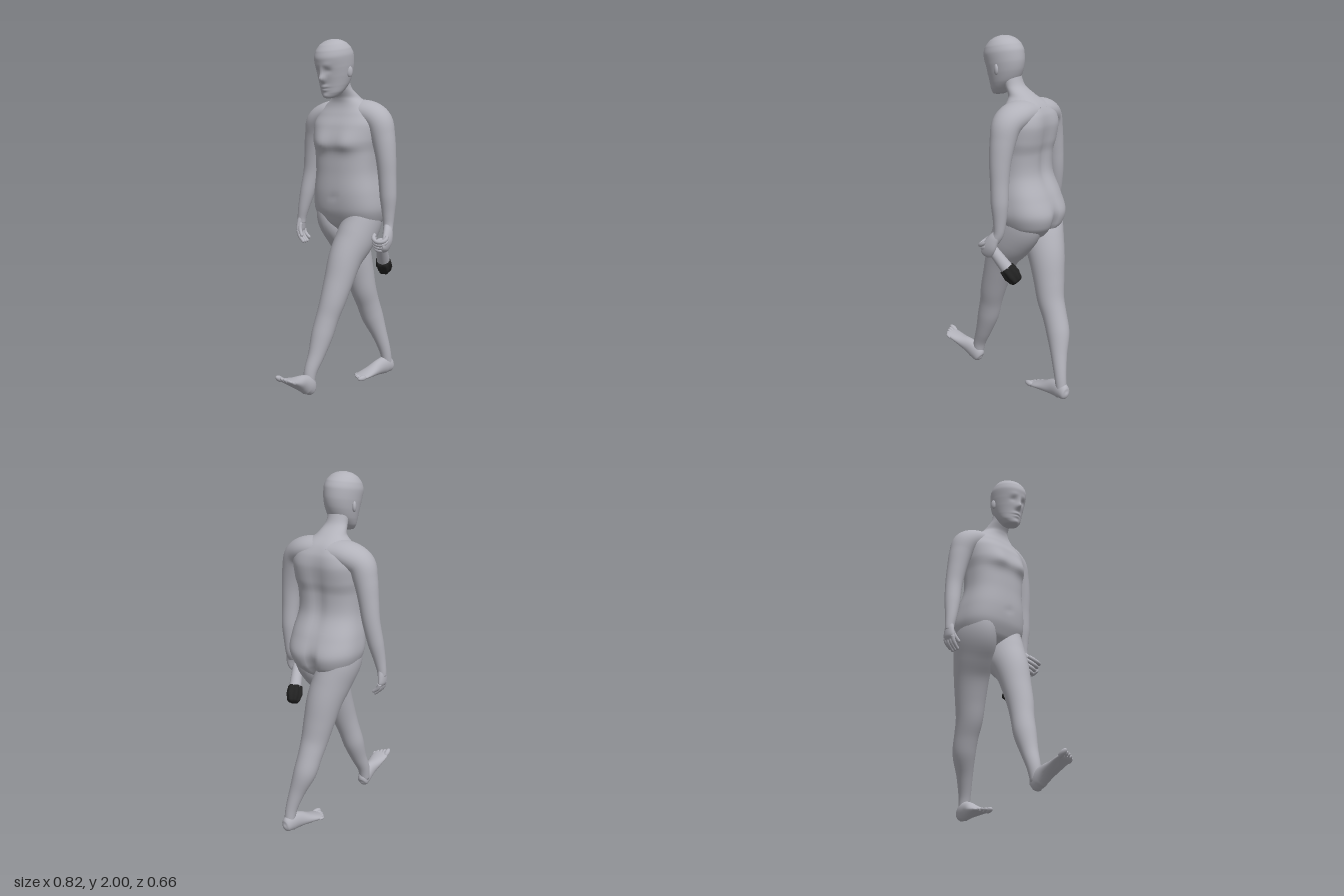
import * as THREE from 'three';

const skin = new THREE.MeshStandardMaterial({ color: 0xb2b2ba });
skin.name = 'greySkin';
const dark = new THREE.MeshStandardMaterial({ color: 0x222222 });
dark.name = 'darkRubber';

const V = (x, y, z) => new THREE.Vector3(x, y, z);
const YAW = -0.863; // heading of the body
const FWD = V(Math.sin(YAW), 0, Math.cos(YAW));
const SIDE = V(Math.cos(YAW), 0, -Math.sin(YAW));
const bump = (v, x, y, sx, sy) => Math.exp(-(((v.x - x) / sx) ** 2) - ((v.y - y) / sy) ** 2);

function add(parent, name, geometry, material = skin) {
  const mesh = new THREE.Mesh(geometry, material);
  mesh.name = name;
  parent.add(mesh);
  return mesh;
}

// Smooth skin through sections [x, y, z, halfWidth, halfDepth, power]; power below 1 squares the ellipse
function loft(sections, { ref = FWD, axis = null, rows = 28, cols = 24, deform = null } = {}) {
  const path = new THREE.CatmullRomCurve3(sections.map(s => V(s[0], s[1], s[2])));
  const radii = new THREE.CatmullRomCurve3(sections.map(s => V(s[3], s[4] ?? s[3], s[5] ?? 1)));
  const pos = [], idx = [];
  const round = (c, power) => Math.sign(c) * Math.abs(c) ** power;
  for (let i = 0; i <= rows; i++) {
    const c = path.getPoint(i / rows), r = radii.getPoint(i / rows);
    const T = axis ?? path.getTangent(i / rows);
    const B = ref.clone().addScaledVector(T, -ref.dot(T)).normalize();
    const A = B.clone().cross(T);
    for (let j = 0; j < cols; j++) {
      const a = (j / cols) * Math.PI * 2;
      const p = c.clone().addScaledVector(A, round(Math.cos(a), r.z) * r.x).addScaledVector(B, round(Math.sin(a), r.z) * r.y);
      if (deform) deform(p, Math.sin(a));
      pos.push(p.x, p.y, p.z);
      if (i === rows) continue;
      const k = i * cols + j, n = i * cols + ((j + 1) % cols);
      idx.push(k, n, n + cols, k, n + cols, k + cols);
    }
  }
  // end caps
  [0, rows].forEach(i => {
    const c = path.getPoint(i / rows), m = pos.length / 3;
    pos.push(c.x, c.y, c.z);
    for (let j = 0; j < cols; j++) {
      const k = i * cols + j, n = i * cols + ((j + 1) % cols);
      if (i) idx.push(m, k, n); else idx.push(m, n, k);
    }
  });
  const g = new THREE.BufferGeometry();
  g.setAttribute('position', new THREE.Float32BufferAttribute(pos, 3));
  g.setIndex(idx);
  g.computeVertexNormals();
  return g;
}

// Upright form from rows [y, front, back, halfWidth, power]
const upright = (rows, deform) => loft(
  rows.map(([y, f, b, w, power]) => [0, y, (f + b) / 2, w, (f - b) / 2, power]),
  { ref: V(0, 0, 1), axis: V(0, 1, 0), rows: 80, cols: 64, deform });

function makeTorso() {
  const rows = [
    [0.885, -0.09, -0.17, 0.03, 0.9], [0.925, -0.04, -0.238, 0.115, 0.85], [0.98, 0.012, -0.28, 0.182, 0.8],
    [1.06, 0.045, -0.297, 0.207, 0.78], [1.15, 0.056, -0.27, 0.2, 0.8], [1.27, 0.055, -0.222, 0.18, 0.82],
    [1.38, 0.055, -0.22, 0.183, 0.8], [1.45, 0.055, -0.232, 0.195, 0.75], [1.53, 0.04, -0.24, 0.2, 0.74],
    [1.595, 0.012, -0.23, 0.18, 0.78], [1.645, -0.005, -0.198, 0.132, 0.85], [1.685, -0.002, -0.145, 0.082, 0.95],
    [1.74, 0.03, -0.075, 0.062, 1], [1.82, 0.06, -0.045, 0.058, 1]];
  return upright(rows, (p, s) => {
    if (s > 0) { // chest and navel
      for (const x of [-0.085, 0.085])
        p.z += s * 0.026 * bump(p, x, 1.425, 0.075, p.y < 1.425 ? 0.038 : 0.075);
      p.z -= s * 0.005 * bump(p, 0, 1.13, 0.02, 0.02);
    } else { // spine groove, cleft, seat and shoulder blades
      p.z -= s * (0.016 * bump(p, 0, 1.36, 0.04, 0.2) + 0.032 * bump(p, 0, 0.98, 0.022, 0.09));
      for (const x of [-0.095, 0.095])
        p.z += s * (0.012 * bump(p, x, 1.0, 0.08, 0.08) + 0.006 * bump(p, x * 1.2, 1.52, 0.06, 0.09));
    }
  });
}

function makeHead() {
  const head = new THREE.Group();
  head.name = 'head';
  const rows = [
    [-0.168, 0.075, 0.03, 0.012], [-0.16, 0.092, 0.0, 0.042], [-0.135, 0.097, -0.035, 0.064],
    [-0.1, 0.098, -0.078, 0.078], [-0.05, 0.102, -0.109, 0.09], [0, 0.108, -0.124, 0.098],
    [0.05, 0.112, -0.126, 0.102], [0.09, 0.096, -0.112, 0.094], [0.12, 0.066, -0.083, 0.073],
    [0.138, 0.03, -0.048, 0.042], [0.145, -0.005, -0.013, 0.005]];
  add(head, 'skullAndFace', upright(rows, (p, s) => {
    if (s <= 0) return;
    p.z += s * (0.026 * bump(p, 0, -0.055, 0.016, 0.02) + 0.012 * bump(p, 0, -0.025, 0.012, 0.03)
      + 0.009 * bump(p, 0, -0.1, 0.026, 0.01) + 0.007 * bump(p, 0, -0.118, 0.022, 0.009)
      - 0.003 * bump(p, 0, -0.109, 0.03, 0.004) + 0.008 * bump(p, 0, -0.15, 0.025, 0.015));
    for (const x of [-0.036, 0.036])
      p.z += s * (0.004 * bump(p, x, 0.018, 0.025, 0.014) - 0.008 * bump(p, x, -0.014, 0.02, 0.016));
  }));
  for (const s of [-1, 1]) {
    const ear = add(head, s > 0 ? 'leftEar' : 'rightEar', new THREE.SphereGeometry(1, 16, 12));
    ear.scale.set(0.011, 0.03, 0.018);
    ear.position.set(s * 0.093, -0.035, -0.018);
    ear.rotation.set(-0.15, s * -0.45, 0);
  }
  head.position.set(-0.024, 1.857, 0.042);
  head.rotation.set(0.16, -0.977, 0, 'YXZ');
  return head;
}

// Foot along local +z with its sole at y = 0; inner is the side of the big toe
function makeFoot(name, inner, length) {
  const foot = new THREE.Group();
  foot.name = name;
  add(foot, 'footBody', loft([
    [0, 0.036, 0, 0.008, 0.01], [0, 0.038, 0.012, 0.03, 0.034], [0, 0.052, 0.05, 0.037, 0.054],
    [0, 0.047, 0.1, 0.037, 0.047], [0, 0.031, 0.16, 0.046, 0.03], [0, 0.02, 0.21, 0.051, 0.018],
    [0, 0.015, 0.235, 0.047, 0.013], [0, 0.014, 0.248, 0.034, 0.007]], { ref: V(0, 1, 0) }));
  for (let k = 0; k < 5; k++) {
    const r = k ? 0.0115 - k * 0.0005 : 0.016;
    const toe = add(foot, 'toe', new THREE.SphereGeometry(r, 14, 10));
    toe.scale.z = 1.9;
    toe.position.set(inner * (0.035 - k * 0.0195 + (k ? -0.003 : 0)), 0.016, 0.25 - k * k * 0.0018);
  }
  foot.scale.z = length;
  return foot;
}

export function createModel() {
  const model = new THREE.Group();
  model.name = 'walkingFigure';

  const torso = add(model, 'torso', makeTorso());
  torso.rotation.y = YAW;
  torso.position.copy(SIDE).multiplyScalar(0.015);
  model.add(makeHead());

  // Legs
  add(model, 'leftLeg', loft([
    [0.163, 1.12, 0.0, 0.08, 0.125], [0.157, 1.0, 0.006, 0.097, 0.141], [0.102, 0.89, 0.033, 0.104, 0.126],
    [0.038, 0.79, 0.064, 0.095, 0.1], [-0.01, 0.66, 0.088, 0.083, 0.082], [-0.048, 0.55, 0.104, 0.073],
    [-0.08, 0.46, 0.11, 0.065], [-0.11, 0.37, 0.118, 0.063], [-0.152, 0.25, 0.138, 0.047],
    [-0.19, 0.16, 0.154, 0.037], [-0.202, 0.08, 0.163, 0.03]], { rows: 48, cols: 32 }));
  add(model, 'rightLeg', loft([
    [0.033, 1.12, -0.145, 0.08, 0.125], [0.038, 1.0, -0.145, 0.097, 0.143], [0.095, 0.89, -0.15, 0.104, 0.126],
    [0.143, 0.79, -0.158, 0.1, 0.106], [0.18, 0.66, -0.162, 0.088], [0.208, 0.55, -0.165, 0.077],
    [0.24, 0.46, -0.179, 0.069], [0.272, 0.37, -0.189, 0.066], [0.318, 0.25, -0.182, 0.046],
    [0.354, 0.14, -0.179, 0.034], [0.368, 0.06, -0.182, 0.03]], { rows: 48, cols: 32 }));

  // Feet: the left heel strikes with toes raised, the right is flat
  const leftFoot = makeFoot('leftFoot', -1, 1.08);
  leftFoot.position.set(-0.195, 0.018, 0.165);
  leftFoot.rotation.set(-0.57, -0.9, 0, 'YXZ');
  const rightFoot = makeFoot('rightFoot', 1, 1.1);
  rightFoot.position.set(0.405, 0.003, -0.203);
  rightFoot.rotation.set(-0.02, -1.125, 0, 'YXZ');
  model.add(leftFoot, rightFoot);

  // Arms, growing out of the shoulder line
  add(model, 'leftArm', loft([
    [0.113, 1.6, -0.052, 0.07, 0.098], [0.178, 1.595, 0.029, 0.073, 0.098], [0.219, 1.553, 0.094, 0.074, 0.085],
    [0.236, 1.47, 0.12, 0.067, 0.072], [0.248, 1.36, 0.138, 0.057, 0.06], [0.255, 1.25, 0.143, 0.051],
    [0.261, 1.14, 0.145, 0.048], [0.263, 1.04, 0.146, 0.036], [0.261, 0.97, 0.152, 0.028],
    [0.25, 0.93, 0.17, 0.026]], { rows: 48, cols: 28 }));
  add(model, 'rightArm', loft([
    [0.083, 1.6, -0.087, 0.07, 0.098], [0.013, 1.59, -0.163, 0.073, 0.098], [-0.042, 1.548, -0.215, 0.074, 0.085],
    [-0.059, 1.47, -0.242, 0.065, 0.07], [-0.07, 1.36, -0.263, 0.055, 0.058], [-0.08, 1.25, -0.277, 0.049],
    [-0.105, 1.13, -0.283, 0.044], [-0.128, 1.03, -0.288, 0.033], [-0.138, 0.97, -0.294, 0.026],
    [-0.14, 0.94, -0.295, 0.024]], { rows: 48, cols: 28 }));

  // Right hand, relaxed
  add(model, 'rightPalm', loft([
    [-0.137, 0.98, -0.293, 0.02, 0.024], [-0.141, 0.945, -0.296, 0.02, 0.034], [-0.143, 0.905, -0.297, 0.017, 0.04],
    [-0.141, 0.885, -0.296, 0.01, 0.034]]));
  const finger = (name, from, along, curl, drop) => {
    const pts = [0, 0.5, 1, 1.06].map((t, i) => {
      const p = from.clone().addScaledVector(along, t).addScaledVector(SIDE, curl * t * t);
      return [p.x, p.y - drop * t, p.z, [0.012, 0.011, 0.009, 0.003][i]];
    });
    add(model, name, loft(pts, { rows: 12, cols: 12 }));
  };
  for (let k = 0; k < 4; k++)
    finger('rightFinger', V(-0.142, 0.9, -0.297).addScaledVector(FWD, (k - 1.5) * 0.02), V(0, 0, 0), 0.04, k === 0 ? 0.05 : 0.068);
  finger('rightThumb', V(-0.15, 0.94, -0.28), FWD.clone().multiplyScalar(0.025), 0.03, 0.07);

  // Left hand, gripping the torch
  add(model, 'leftPalm', loft([
    [0.26, 0.975, 0.152, 0.02, 0.026], [0.252, 0.94, 0.178, 0.022, 0.034], [0.24, 0.895, 0.2, 0.02, 0.042],
    [0.222, 0.855, 0.212, 0.014, 0.036], [0.21, 0.84, 0.214, 0.006, 0.02]]));

  // Torch, with local -y running from the hand to the dark head
  const torch = new THREE.Group();
  torch.name = 'torch';
  torch.position.set(0.198, 0.915, 0.205);
  torch.quaternion.setFromUnitVectors(V(0, -1, 0), V(0.075, -0.215, -0.15).normalize());
  const tube = add(torch, 'torchTube', new THREE.CylinderGeometry(0.028, 0.037, 0.17, 28));
  tube.position.y = -0.115;
  const profile = [[0, -0.282], [0.026, -0.28], [0.035, -0.268], [0.038, -0.25], [0.044, -0.235], [0.042, -0.205], [0.039, -0.182], [0, -0.18]];
  const cap = new THREE.LatheGeometry(profile.map(p => new THREE.Vector2(...p)), 36);
  const cp = cap.attributes.position;
  for (let i = 0; i < cp.count; i++) { // scalloped grip
    const k = 1 + 0.09 * Math.cos(6 * Math.atan2(cp.getX(i), cp.getZ(i)));
    cp.setX(i, cp.getX(i) * k);
    cp.setZ(i, cp.getZ(i) * k);
  }
  cap.computeVertexNormals();
  add(torch, 'torchHead', cap, dark);
  for (let k = 0; k < 4; k++) {
    const f = add(torch, 'leftFinger', new THREE.TorusGeometry(0.037, 0.0115, 10, 24, 3.9));
    f.position.y = 0.005 - k * 0.023;
    f.rotation.set(Math.PI / 2, 0, 0.3);
  }
  model.add(torch);
  return model;
}
